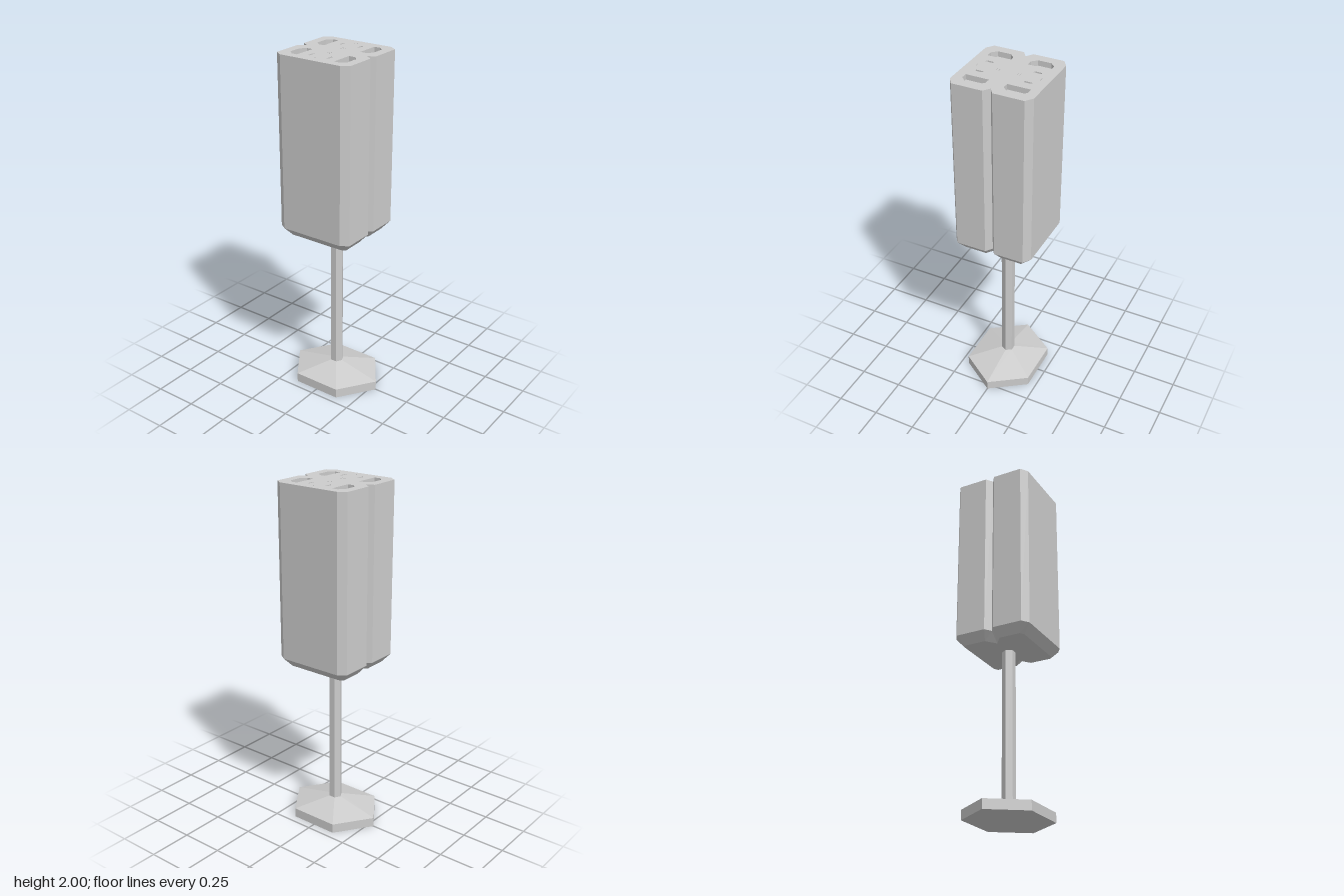
import * as THREE from 'three';

const material = new THREE.MeshStandardMaterial({ color: 0xcccccc, flatShading: true });

function add(group, name, geometry) {
  const mesh = new THREE.Mesh(geometry, material);
  mesh.name = name;
  group.add(mesh);
}

// Walls joining counter-clockwise outlines [x, -z] at given heights
// (listed bottom to top they face outward, top to bottom inward)
function loft(levels) {
  const pos = [];
  for (let k = 0; k + 1 < levels.length; k++) {
    const [ra, ya] = levels[k], [rb, yb] = levels[k + 1];
    ra.forEach((_, i) => {
      const j = (i + 1) % ra.length;
      const at = (r, y, n) => [r[n][0], y, -r[n][1]];
      const a = at(ra, ya, i), b = at(ra, ya, j), c = at(rb, yb, j), d = at(rb, yb, i);
      pos.push(...a, ...b, ...c, ...a, ...c, ...d);
    });
  }
  const g = new THREE.BufferGeometry();
  g.setAttribute('position', new THREE.Float32BufferAttribute(pos, 3));
  g.computeVertexNormals();
  return g;
}

const toPoints = (ring) => ring.map(([x, s]) => new THREE.Vector2(x, s));

// Flat face over an outline, facing up or down
function cap(ring, y, up = true, holes = []) {
  const shape = new THREE.Shape(toPoints(ring));
  shape.holes = holes.map((h) => new THREE.Path(toPoints(h)));
  return new THREE.ShapeGeometry(shape).rotateX(up ? -Math.PI / 2 : Math.PI / 2).translate(0, y, 0);
}

// Mirror a quarter outline, ending on the x = 0 axis, to all four quadrants
function mirrorQuarter(q) {
  const half = [...q, ...q.slice(0, -1).reverse().map(([x, s]) => [-x, s])];
  return [...half, ...half.map(([x, s]) => [-x, -s])];
}

// D-shaped recess outline with chamfered outer corners, mirrored by signs
function recess(x0, x1, s0, s1, c, mx, ms) {
  const ring = [[x0, s0], [x1, s0], [x1, s1 - c], [x1 - c, s1], [x0 + c, s1], [x0, s1 - c]]
    .map(([x, s]) => [x * mx, s * ms]);
  return mx * ms < 0 ? ring.reverse() : ring;
}

// Hexagon with points to the front and back
const hexagon = (rx, rz) => Array.from({ length: 6 }, (_, i) => {
  const a = (i + 0.5) * Math.PI / 3;
  return [Math.cos(a) / Math.cos(Math.PI / 6) * rx, Math.sin(a) * rz];
});

export function createModel() {
  const model = new THREE.Group();

  // Hexagonal foot with sloping top
  const foot = new THREE.Group();
  foot.name = 'foot';
  const footRing = hexagon(0.205, 0.285), stemRing = hexagon(0.033, 0.038);
  add(foot, 'footSides', loft([[footRing, 0], [footRing, 0.055], [stemRing, 0.11]]));
  add(foot, 'footUnderside', cap(footRing, 0, false));
  model.add(foot);

  // Post
  add(model, 'post', loft([[stemRing, 0.11], [stemRing, 0.97]]));

  // Tall block with chamfered corners and a V groove front and back
  const body = new THREE.Group();
  body.name = 'body';
  body.position.z = -0.004;
  const outline = mirrorQuarter([[0.23, 0.19], [0.2, 0.233], [0.027, 0.233], [0, 0.194]]);
  const bottom = mirrorQuarter([[0.185, 0.165], [0.17, 0.19], [0.045, 0.19], [0, 0.13]]);
  add(body, 'bodySides', loft([[bottom, 0.965], [outline, 1.015], [outline, 2]]));
  add(body, 'bodyUnderside', cap(bottom, 0.965, false));

  // Recesses in the top
  const recesses = [];
  for (const mx of [1, -1]) {
    for (const ms of [1, -1]) {
      recesses.push(recess(0.05, 0.18, 0.117, 0.181, 0.028, mx, ms));
      recesses.push(recess(0.113, 0.157, 0.051, 0.064, 0.006, mx, ms));
    }
    for (const x of [0.05, 0.064, 0.178]) {
      recesses.push(recess(x, x + 0.003, -0.012, 0.012, 0.001, mx, 1));
    }
  }
  add(body, 'bodyTop', cap(outline, 2, true, recesses));
  for (const ring of recesses) {
    add(body, 'recessWalls', loft([[ring, 2], [ring, 1.97]]));
    add(body, 'recessFloor', cap(ring, 1.97));
  }
  model.add(body);
  return model;
}
